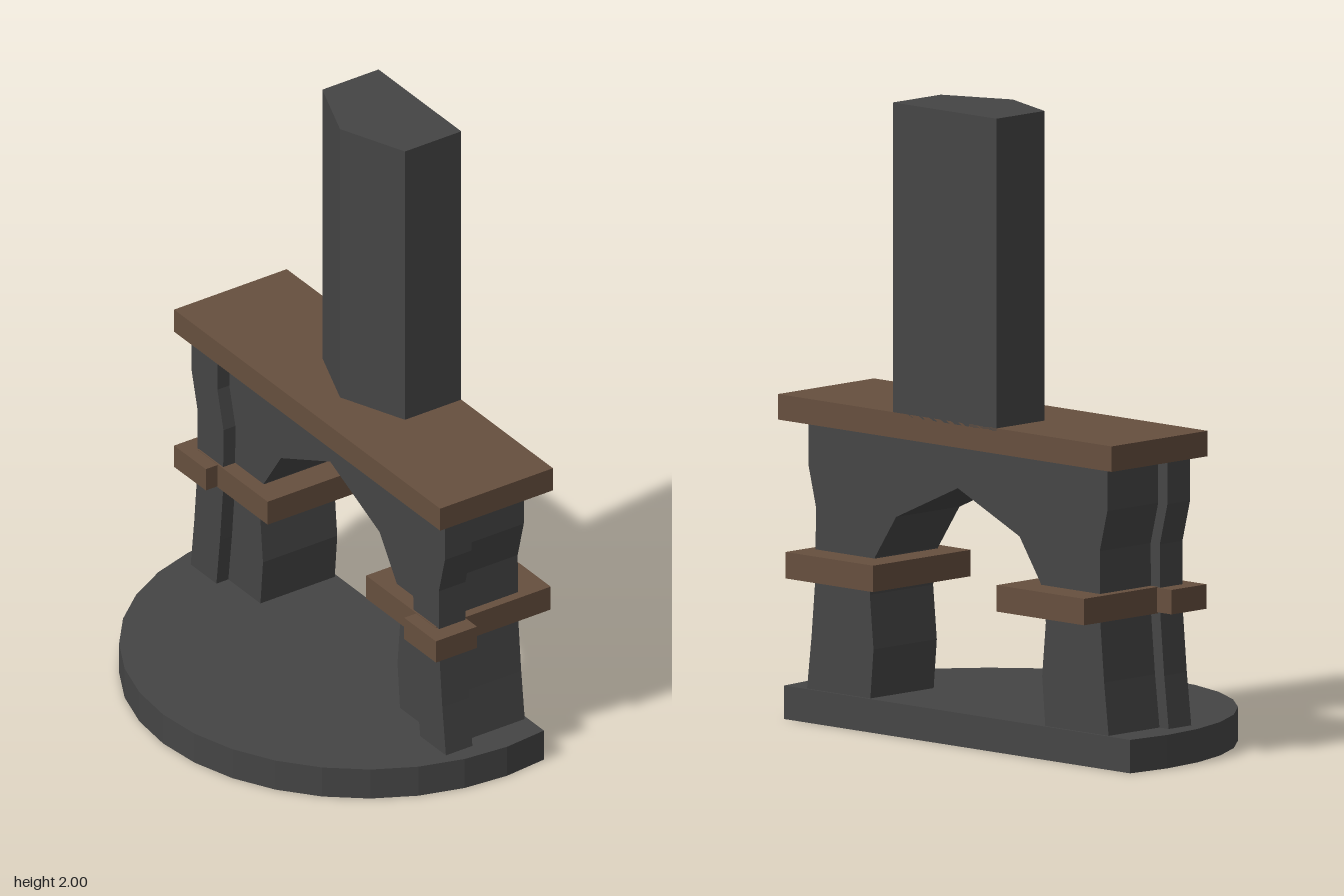
import * as THREE from 'three';

const stone = new THREE.MeshStandardMaterial({ color: 0x454545 });
stone.name = 'darkStone';
const wood = new THREE.MeshStandardMaterial({ color: 0x664f3e });
wood.name = 'brownWood';

const MID = 0.006; // z of the symmetry plane of the upper body

export function createModel() {
  const group = new THREE.Group();
  group.name = 'fireplace';

  const add = (name, geometry, material) => {
    const mesh = new THREE.Mesh(geometry, material);
    mesh.name = name;
    group.add(mesh);
  };
  const toShape = (pts) => new THREE.Shape(pts.map(([a, b]) => new THREE.Vector2(a, b)));

  // Box given by its limits on each axis
  const box = (name, x0, x1, y0, y1, z0, z1, material) => {
    const g = new THREE.BoxGeometry(x1 - x0, y1 - y0, Math.abs(z1 - z0));
    g.translate((x0 + x1) / 2, (y0 + y1) / 2, (z0 + z1) / 2);
    add(name, g, material);
  };
  // Side outline of [z, y] points, extruded along x
  const slabX = (name, pts, x0, x1) => {
    const shape = toShape(pts.map(([z, y]) => [-z, y]));
    const g = new THREE.ExtrudeGeometry(shape, { depth: x1 - x0, bevelEnabled: false });
    g.rotateY(Math.PI / 2).translate(x0, 0, 0);
    add(name, g, stone);
  };
  // Plan outline of [x, z] points, extruded along y
  const slabY = (name, pts, y0, y1) => {
    const shape = toShape(pts.map(([x, z]) => [x, -z]));
    const g = new THREE.ExtrudeGeometry(shape, { depth: y1 - y0, bevelEnabled: false });
    g.rotateX(-Math.PI / 2).translate(0, y0, 0);
    add(name, g, stone);
  };

  // Rounded hearth, cut straight along the back
  const hearth = [];
  for (let i = -1; i <= 17; i++) {
    const a = (i * Math.PI) / 16;
    hearth.push([0.26 - 0.766 * Math.sin(a), 0.766 * Math.cos(a)]);
  }
  slabY('hearth', hearth, 0, 0.105);

  // Wavy pier outlines: [half width, height]
  const outer = [[0.655, 0.1], [0.635, 0.27], [0.618, 0.46], [0.616, 0.68], [0.649, 0.81], [0.649, 0.95]];
  const inner = [[0.38, 0.1], [0.366, 0.26], [0.382, 0.43], [0.36, 0.55], [0.268, 0.687]];
  const side = (pts, s, dz = 0) => pts.map(([z, y]) => [MID + s * (z + dz), y]);

  // Two piers joined by the arch, one solid outline
  slabX('archAndPiers', [
    ...side(outer, 1),
    ...side(outer, -1).reverse(),
    ...side(inner, -1),
    [MID, 0.808],
    ...side(inner, 1).reverse(),
  ], 0.12, 0.4);

  for (const s of [1, -1]) {
    const label = s > 0 ? 'A' : 'B';
    // Corner pilaster follows the wave of the pier
    slabX('pilaster' + label, [
      ...side(outer, s, 0.04),
      ...side(outer, s, -0.1).reverse(),
    ], 0.075, 0.175);
    // Ledge round the pier with a block round the pilaster
    box('ledge' + label, 0.07, 0.502, 0.463, 0.546, MID + s * 0.268, MID + s * 0.648, wood);
    box('ledgeBlock' + label, 0.025, 0.18, 0.467, 0.544, MID + s * 0.54, MID + s * 0.712, wood);
  }

  // Mantel shelf
  box('mantel', 0.033, 0.458, 0.948, 1.028, -0.718, 0.73, wood);

  // Five-sided chimney with its point toward the hearth
  slabY('chimney', [
    [0.157, MID], [0.246, MID + 0.225], [0.458, MID + 0.225],
    [0.458, MID - 0.225], [0.246, MID - 0.225],
  ], 1.02, 2);

  return group;
}
